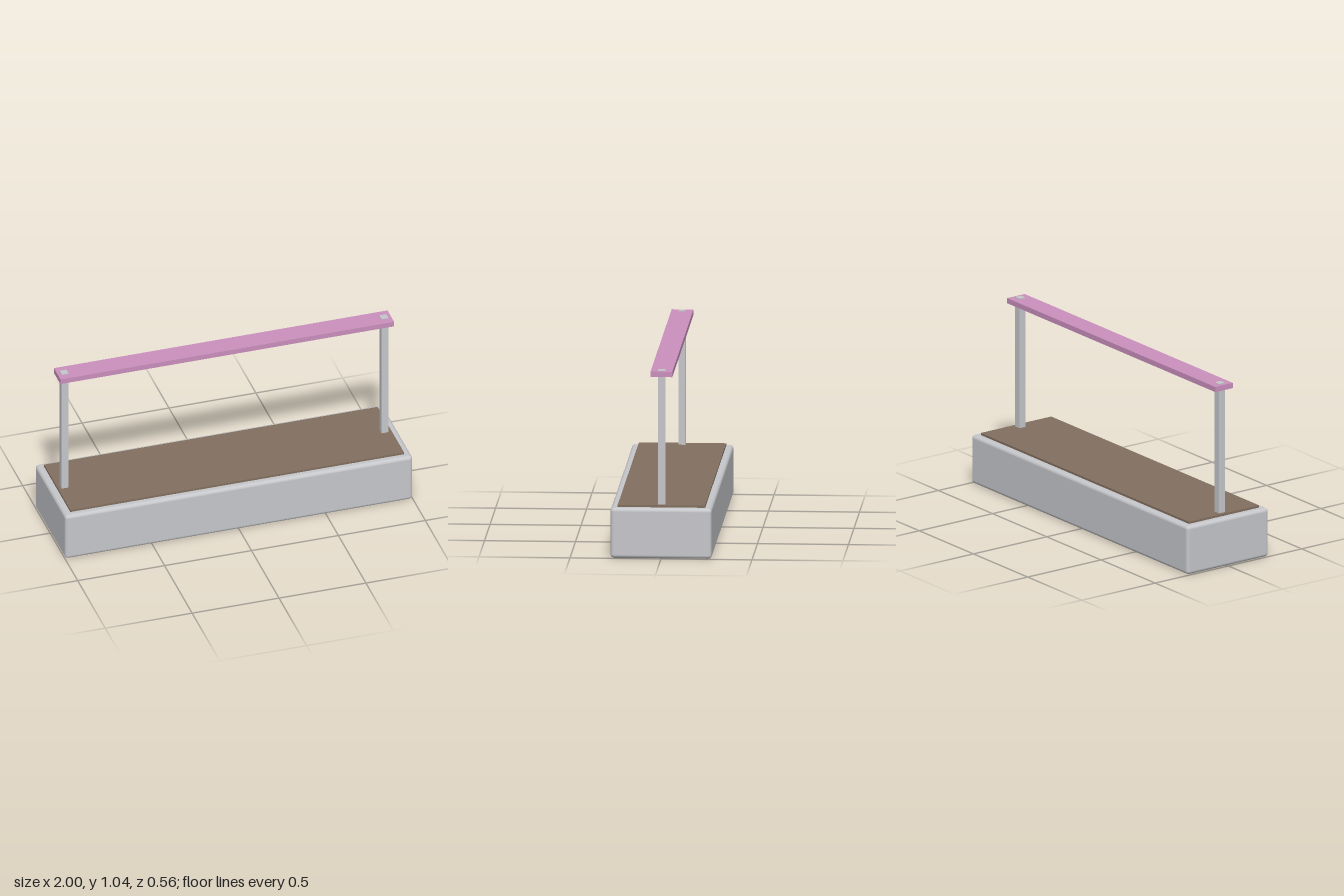
import * as THREE from 'three';
import { RoundedBoxGeometry } from 'three/addons/geometries/RoundedBoxGeometry.js';

export function createModel() {
  const model = new THREE.Group();
  model.name = 'planterWithRail';

  const material = (name, color) => {
    const m = new THREE.MeshStandardMaterial({ color });
    m.name = name;
    return m;
  };
  const grey = material('lightGrey', 0xc6c7cb);
  const brown = material('soilBrown', 0x826f5f);
  const pink = material('railPink', 0xcb90be);

  const add = (name, geometry, mat, x, y, z) => {
    const mesh = new THREE.Mesh(geometry, mat);
    mesh.name = name;
    mesh.position.set(x, y, z);
    model.add(mesh);
  };
  // Box given by its bottom and top heights
  const addBox = (name, mat, x, width, depth, bottom, top) =>
    add(name, new THREE.BoxGeometry(width, top - bottom, depth), mat, x, (bottom + top) / 2, 0);

  // Trough with softly rounded edges
  add('trough', new RoundedBoxGeometry(2, 0.28, 0.556, 3, 0.02), grey, 0, 0.14, 0);

  // Bed of soil standing slightly proud of the trough
  addBox('soil', brown, 0, 1.92, 0.48, 0.26, 0.292);

  // Posts pass through the rail and show just above it
  for (const [name, side] of [['leftPost', 1], ['rightPost', -1]]) {
    addBox(name, grey, side * 0.92, 0.04, 0.04, 0.28, 1.04);
  }

  // Flat rail across the posts
  addBox('rail', pink, 0, 1.92, 0.12, 1.006, 1.036);

  return model;
}
